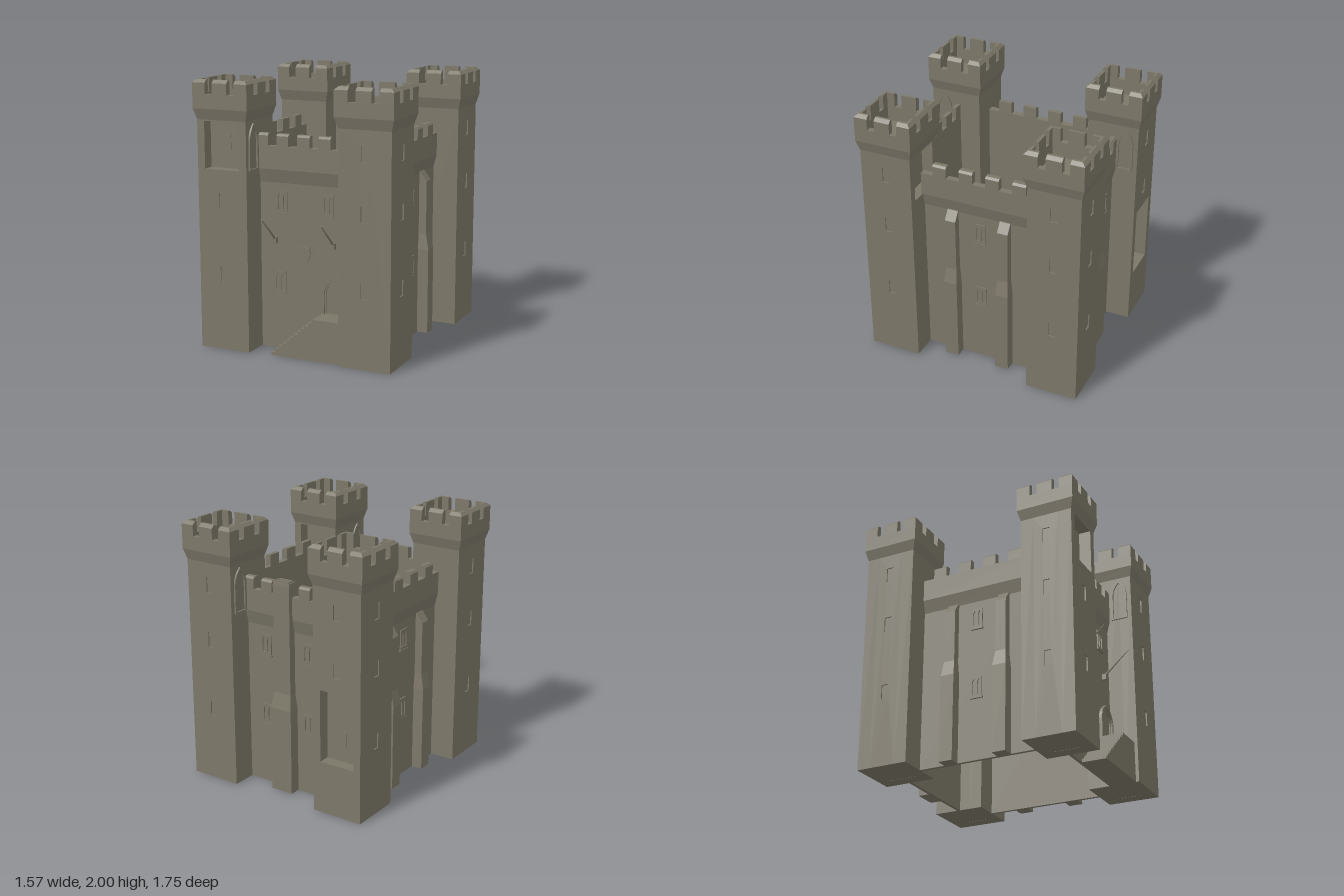
import * as THREE from 'three';

const stone = new THREE.MeshStandardMaterial({ color: 0x7c7768 });
stone.name = 'stone';

function add(parent, geo, name) {
  const m = new THREE.Mesh(geo, stone);
  m.name = name;
  parent.add(m);
  return m;
}
function box(parent, name, x0, x1, y0, y1, z0, z1) {
  const g = new THREE.BoxGeometry(x1 - x0, y1 - y0, z1 - z0);
  g.translate((x0 + x1) / 2, (y0 + y1) / 2, (z0 + z1) / 2);
  return add(parent, g, name);
}
// A group whose local +z points outward: 0 front, 1 +x, 2 back, 3 -x
function side(parent, k, name) {
  const g = new THREE.Group();
  g.name = name;
  g.rotation.y = k * Math.PI / 2;
  parent.add(g);
  return g;
}
// Extrude a (z, y) profile along x from x0 to x1
function run(pts, x0, x1) {
  const s = new THREE.Shape(pts.map(p => new THREE.Vector2(...p)));
  const g = new THREE.ExtrudeGeometry(s, { depth: x1 - x0, bevelEnabled: false });
  g.rotateY(-Math.PI / 2);
  return g.translate(x1, 0, 0);
}
// Same, with the ends mitred at square corners
function mitredRun(pts, x0, x1) {
  const g = run(pts, x0, x1), p = g.attributes.position;
  for (let i = 0; i < p.count; i++) {
    const z = p.getZ(i);
    p.setX(i, THREE.MathUtils.clamp(p.getX(i), -z, z));
  }
  g.computeVertexNormals();
  return g;
}
function rect(P, x0, x1, y0, y1) {
  const p = new P();
  p.moveTo(x0, y0); p.lineTo(x1, y0); p.lineTo(x1, y1); p.lineTo(x0, y1); p.closePath();
  return p;
}
// Pointed arch outline
function arch(P, cx, y0, hw, spring, top) {
  const p = new P(), c = spring + (top - spring) * 0.62;
  p.moveTo(cx - hw, y0); p.lineTo(cx + hw, y0); p.lineTo(cx + hw, spring);
  p.quadraticCurveTo(cx + hw, c, cx, top);
  p.quadraticCurveTo(cx - hw, c, cx - hw, spring);
  p.closePath();
  return p;
}
function plate(parent, name, shape, holes, z, depth) {
  shape.holes.push(...holes);
  const g = new THREE.ExtrudeGeometry(shape, { depth, bevelEnabled: false, curveSegments: 6 });
  return add(parent, g.translate(0, 0, z), name);
}

// Twin lancet window with a sill
function twinWindow(parent, x, y, z) {
  const lights = [-0.021, 0.021].map(o => arch(THREE.Path, x + o, y + 0.02, 0.014, y + 0.105, y + 0.14));
  plate(parent, 'windowFrame', rect(THREE.Shape, x - 0.042, x + 0.042, y, y + 0.155), lights, z - 0.002, 0.011);
  box(parent, 'windowSill', x - 0.05, x + 0.05, y - 0.012, y, z - 0.002, z + 0.014);
}

// Corner tower; niches maps a side number to [bottom, top]; door is its inner x side
const H = 0.2, C = 0.2225;
function tower(parent, sx, sz, niches) {
  const t = new THREE.Group();
  t.name = (sz > 0 ? 'front' : 'back') + (sx > 0 ? 'Left' : 'Right') + 'Tower';
  t.position.set(sx * 0.5625, 0, sz * 0.655);
  parent.add(t);
  const outward = [sz > 0 ? 0 : 2, sx > 0 ? 1 : 3];
  for (let k = 0; k < 4; k++) {
    const s = side(t, k, 'towerSide'), w = k % 2 ? H - 0.1 : H, holes = [];
    const n = niches[k];
    if (n) {
      holes.push(rect(THREE.Path, -0.142, 0.142, n[0], n[1]));
      box(s, 'nicheBack', -0.15, 0.15, n[0] - 0.01, n[1] + 0.01, H - 0.11, H - 0.09);
    }
    if (outward.includes(k)) for (const y of [0.515, 1.065, 1.485]) {
      if (n && y > n[0] && y < n[1]) {
        box(s, 'slitPlate', -0.028, 0.028, y, y + 0.115, H - 0.092, H - 0.084);
      } else {
        holes.push(rect(THREE.Path, -0.028, 0.028, y, y + 0.115));
        box(s, 'slitBack', -0.035, 0.035, y - 0.01, y + 0.125, H - 0.11, H - 0.01);
      }
    }
    plate(s, 'towerWall', rect(THREE.Shape, -w, w, 0, 1.71), holes, H - 0.1, 0.1);

    // Battlements
    const i = C - 0.045;
    add(s, mitredRun([[i, 1.77], [C, 1.79], [C, 1.895], [i, 1.895]], -C, C), 'towerParapet');
    const merlon = [[i, 1.895], [C, 1.895], [C, 1.977], [C - 0.025, 2], [i, 2]];
    for (const [a, b] of [[-C, -0.118], [-0.06, 0.06], [0.118, C]]) {
      add(s, mitredRun(merlon, a, b), 'towerMerlon');
    }
  }
  // Flared collar under the battlements
  let flare = new THREE.CylinderGeometry(C * Math.SQRT2, H * Math.SQRT2, 0.08, 4, 1, true);
  flare.rotateY(Math.PI / 4);
  flare = flare.toNonIndexed();
  flare.computeVertexNormals();
  add(t, flare.translate(0, 1.75, 0), 'towerFlare');
  box(t, 'towerDeck', -0.19, 0.19, 1.74, 1.78, -0.19, 0.19);
  box(t, 'towerBase', -0.19, 0.19, 0.001, 0.02, -0.19, 0.19);

  // Pointed doorway beside the wall top
  const d = side(t, sx > 0 ? 3 : 1, 'wallWalkDoor');
  const x = sx * -sz * -0.1;
  plate(d, 'doorSurround', arch(THREE.Shape, x, 1.35, 0.065, 1.55, 1.69),
    [arch(THREE.Path, x, 1.36, 0.048, 1.55, 1.665)], H - 0.005, 0.018);
}

// Curtain wall with overhanging battlements
function curtainWall(parent, k, name, half, d, merlons) {
  const s = side(parent, k, name), i = d - 0.05, f = d - 0.025;
  add(s, run([[i, 0], [f, 0], [f, 1.25], [d, 1.35], [d, 1.52], [i, 1.52]], -half, half), 'wall');
  const prof = [[i, 1.52], [d, 1.52], [d, 1.595], [d - 0.015, 1.61], [i, 1.61]];
  for (const [a, b] of merlons) add(s, run(prof, a, b), 'wallMerlon');
  return s;
}

// Tapering pier from sections [y, halfWidth, outer z]
function pier(parent, name, x, inner, sections) {
  let g = new THREE.BoxGeometry(2, 1, 1, 1, sections.length - 1, 1);
  const p = g.attributes.position;
  for (let i = 0; i < p.count; i++) {
    const [y, hw, out] = sections[Math.round((p.getY(i) + 0.5) * (sections.length - 1))];
    p.setXYZ(i, x + p.getX(i) * hw, y, p.getZ(i) > 0 ? out : inner);
  }
  g = g.toNonIndexed();
  g.computeVertexNormals();
  return add(parent, g, name);
}

export function createModel() {
  const castle = new THREE.Group();
  castle.name = 'castle';

  tower(castle, 1, 1, { 2: [1.35, 1.7] });
  tower(castle, -1, 1, { 0: [1.35, 1.7] });
  tower(castle, 1, -1, {});
  tower(castle, -1, -1, { 2: [0.4, 0.95] });

  const short = [[-0.37, -0.285], [-0.215, -0.12], [-0.05, 0.05], [0.12, 0.215], [0.285, 0.37]];
  const long = [-0.315, -0.105, 0.105, 0.315].map(c => [c - 0.053, c + 0.053]);
  const front = curtainWall(castle, 0, 'frontWall', 0.375, 0.67, short);
  const back = curtainWall(castle, 2, 'backWall', 0.375, 0.69, short);

  // Side walls with buttresses
  for (const k of [1, 3]) {
    const s = curtainWall(castle, k, k === 1 ? 'leftWall' : 'rightWall', 0.465, 0.59, long);
    const m = k === 1 ? -1 : 1;
    for (const z of [0.22, -0.2]) {
      pier(s, 'buttress', m * z, 0.55, [[0, 0.053, 0.65], [0.66, 0.053, 0.65],
        [0.78, 0.042, 0.625], [1.19, 0.042, 0.625], [1.26, 0.042, 0.575]]);
    }
    for (const y of [0.48, 1.03]) twinWindow(s, 0, y, 0.565);
  }

  // Back wall: chimney and windows
  pier(back, 'chimney', -0.01, 0.645, [[0, 0.09, 0.75], [0.66, 0.09, 0.75],
    [0.78, 0.072, 0.725], [1.6, 0.072, 0.725], [1.625, 0.07, 0.722]]);
  plate(back, 'chimneyRim', rect(THREE.Shape, -0.07, 0.05, -0.715, -0.655),
    [rect(THREE.Path, -0.06, 0.04, -0.695, -0.675)], 1.62, 0.015).rotation.x = -Math.PI / 2;
  for (const x of [-0.19, 0.19]) for (const y of [0.48, 1.03]) twinWindow(back, x, y, 0.665);

  // Front wall: windows, door and stairs
  twinWindow(front, -0.18, 1.035, 0.645);
  twinWindow(front, 0.19, 1.035, 0.645);
  twinWindow(front, -0.2, 0.435, 0.645);
  plate(front, 'doorSurround', arch(THREE.Shape, 0.25, 0.31, 0.108, 0.46, 0.6),
    [arch(THREE.Path, 0.25, 0.312, 0.09, 0.46, 0.575)], 0.64, 0.03);
  plate(front, 'doorInnerArch', arch(THREE.Shape, 0.25, 0.31, 0.092, 0.46, 0.577),
    [arch(THREE.Path, 0.25, 0.312, 0.08, 0.455, 0.56)], 0.64, 0.015);
  const steps = 11;
  for (let i = 0; i < steps; i++) {
    const x = -0.19 + i * 0.03;
    box(front, 'step', x, x + 0.03, 0, (i + 1) * 0.31 / (steps + 1), 0.64, 0.83);
  }
  box(front, 'landing', 0.14, 0.37, 0, 0.31, 0.64, 0.83);

  // Slanted poles on the front wall
  for (const x of [-0.235, 0.235]) {
    const a = new THREE.Vector3(x, 0.82, 0.65), b = new THREE.Vector3(x, 1.01, 0.865);
    const dir = b.clone().sub(a);
    const pole = add(front, new THREE.CylinderGeometry(0.003, 0.009, dir.length(), 8), 'pole');
    pole.position.copy(a).add(b).multiplyScalar(0.5);
    pole.quaternion.setFromUnitVectors(new THREE.Vector3(0, 1, 0), dir.normalize());
    box(front, 'poleBracket', x - 0.012, x + 0.012, 0.8, 0.845, 0.64, 0.68);
  }

  // Plain shield hung from a curved bar
  const sh = new THREE.Shape();
  sh.moveTo(-0.04, 0.785); sh.lineTo(-0.04, 0.73);
  sh.quadraticCurveTo(-0.035, 0.69, 0, 0.67);
  sh.quadraticCurveTo(0.035, 0.69, 0.04, 0.73);
  sh.lineTo(0.04, 0.785); sh.closePath();
  plate(front, 'shield', sh, [], 0.64, 0.014);
  const bar = new THREE.CatmullRomCurve3([[-0.085, 0.785], [-0.06, 0.77], [0, 0.785], [0.06, 0.77], [0.078, 0.785]]
    .map(([x, y]) => new THREE.Vector3(x, y, 0.648)));
  add(front, new THREE.TubeGeometry(bar, 16, 0.004, 6), 'shieldBar');

  return castle;
}
